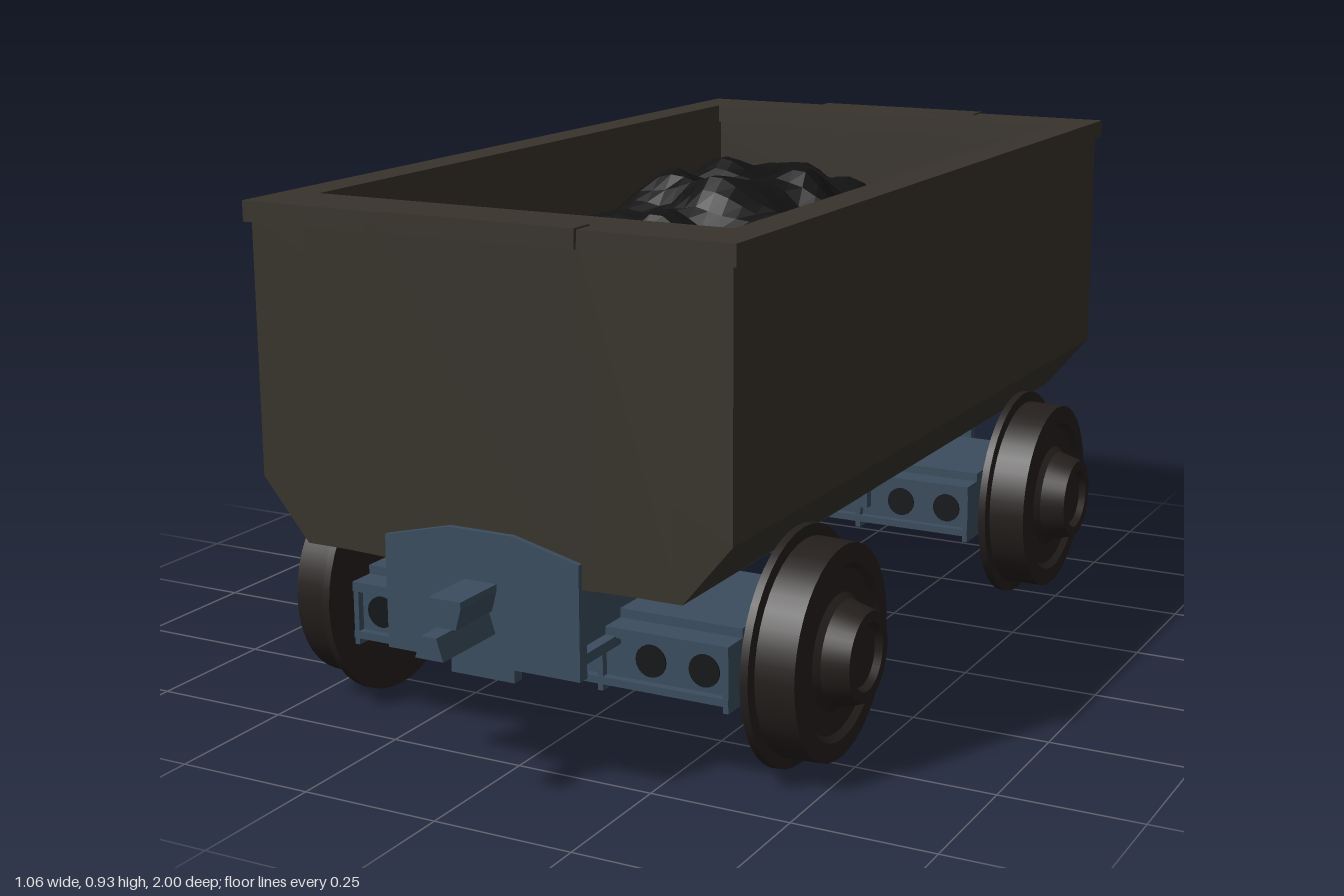
import * as THREE from 'three';

const mat = (color, extra = {}) => new THREE.MeshStandardMaterial({ color, ...extra });

export function createModel() {
  const root = new THREE.Group();
  const tubMat = mat(0x38332c), steel = mat(0x3b4d5e), iron = mat(0x241f1d);
  const dark = mat(0x14171a);
  const coalMat = mat(0x121212, { flatShading: true, side: THREE.DoubleSide });

  const add = (parent, name, geo, material, x = 0, y = 0, z = 0) => {
    const m = new THREE.Mesh(geo, material);
    m.name = name;
    m.position.set(x, y, z);
    parent.add(m);
    return m;
  };
  // Box given by its limits on each axis
  const box = (parent, name, material, x0, x1, y0, y1, z0, z1) =>
    add(parent, name, new THREE.BoxGeometry(x1 - x0, y1 - y0, z1 - z0), material,
      (x0 + x1) / 2, (y0 + y1) / 2, (z0 + z1) / 2);
  const shape = pts => new THREE.Shape(pts.map(p => new THREE.Vector2(p[0], p[1])));
  const extrude = (s, depth) => new THREE.ExtrudeGeometry(s, { depth, bevelEnabled: false });
  const rect = (x, z) => [[-x, -z], [x, -z], [x, z], [-x, z]];

  // Tub: chamfered trough, end walls and rim
  const tub = new THREE.Group();
  tub.name = 'tub';
  root.add(tub);
  const outer = [[-0.44, 0.9], [-0.44, 0.465], [-0.353, 0.36], [0.353, 0.36], [0.44, 0.465], [0.44, 0.9]];
  const inner = [[0.385, 0.9], [0.385, 0.48], [0.32, 0.372], [-0.32, 0.372], [-0.385, 0.48], [-0.385, 0.9]];
  add(tub, 'trough', extrude(shape([...outer, ...inner]), 1.46), tubMat, 0, 0, -0.73);
  for (const s of [-1, 1]) {
    add(tub, 'endWall', extrude(shape(outer), 0.1), tubMat, 0, 0, s > 0 ? 0.73 : -0.83);
    // Shallow bulge on the end face
    const bulge = extrude(shape([[-0.35, 0], [0.35, 0], [0.18, 0.013], [-0.18, 0.013]]), 0.55);
    bulge.rotateX(-Math.PI / 2);
    const b = add(tub, 'endBulge', bulge, tubMat, 0, 0.362, s * 0.829);
    if (s > 0) b.rotation.y = Math.PI;
    if (s > 0) b.rotation.y += Math.PI;
    b.rotation.y = s > 0 ? Math.PI : 0;
    box(tub, 'rimCap', tubMat, -0.18, 0.18, 0.9, 0.933, s > 0 ? 0.8 : -0.848, s > 0 ? 0.848 : -0.8);
  }
  const rimShape = shape(rect(0.45, 0.84));
  rimShape.holes.push(shape(rect(0.385, 0.72)));
  const rim = extrude(rimShape, 0.035);
  rim.rotateX(-Math.PI / 2);
  add(tub, 'rim', rim, tubMat, 0, 0.895, 0);

  // Coal heap: a grid raised by a rule, its outer ring dropped as a skirt
  const nx = 28, nz = 48;
  const coal = new THREE.PlaneGeometry(2, 2, nx, nz).rotateX(-Math.PI / 2);
  const p = coal.attributes.position;
  const inset = (t, n) => Math.max(-1, Math.min(1, t * (n / 2) / (n / 2 - 1)));
  for (let i = 0; i < p.count; i++) {
    const edge = Math.abs(p.getX(i)) > 0.99 || Math.abs(p.getZ(i)) > 0.99;
    const u = inset(p.getX(i), nx), v = inset(p.getZ(i), nz);
    const x = u * (0.345 + 0.014 * Math.sin(v * 9 + u) + 0.012 * Math.sin(v * 23));
    let z = -0.05 + v * (0.63 + 0.012 * Math.sin(u * 17) + 0.01 * Math.sin(u * 7 + 1));
    const spill = Math.max(0, Math.min(1, (0.14 - Math.abs(x)) / 0.07));
    if (v > 0.8) z += 0.12 * spill * (v - 0.8) / 0.2;
    const d = Math.hypot(x / 0.26, (z + 0.1) / 0.3);
    const mound = 0.1 * Math.max(0, Math.min(1, 1.6 - 1.2 * d));
    const rough = 0.014 * Math.sin(x * 31 + z * 17) + 0.012 * Math.sin(z * 37 - x * 13)
      + 0.012 * Math.abs(Math.sin(x * 19 - z * 23));
    const y = 0.77 + mound + rough - 0.05 * u ** 4 - 0.04 * v ** 4;
    p.setXYZ(i, x, edge ? 0.4 : y, z);
  }
  coal.computeVertexNormals();
  add(root, 'coalHeap', coal, coalMat);

  // Centre sill with side holes and ribs
  const chassis = new THREE.Group();
  chassis.name = 'chassis';
  root.add(chassis);
  box(chassis, 'centreSill', steel, -0.14, 0.14, 0.235, 0.378, -0.83, 0.83);
  for (const s of [-1, 1]) {
    box(chassis, 'sillFlange', steel, s * 0.135 - 0.025, s * 0.135 + 0.025, 0.22, 0.238, -0.83, 0.83);
    for (const z of [-0.19, 0, 0.19])
      add(chassis, 'sillHole', new THREE.CylinderGeometry(0.028, 0.028, 0.006, 20).rotateZ(Math.PI / 2),
        dark, s * 0.14, 0.305, z);
    for (const z of [-0.3, 0.3])
      box(chassis, 'sillRib', steel, s * 0.15 - 0.02, s * 0.15 + 0.02, 0.196, 0.36, z - 0.01, z + 0.01);
  }

  // Lathe outline of a wheel, from the flange outwards
  const wheelProfile = [[0, 0], [0.205, 0], [0.205, 0.014], [0.185, 0.016], [0.183, 0.085], [0.15, 0.087],
    [0.14, 0.077], [0.1, 0.077], [0.09, 0.087], [0.077, 0.132], [0.058, 0.132], [0.052, 0.12], [0, 0.12]];
  // Separate strips between points keep the turned edges crisp
  const wheel = side => {
    const g = new THREE.Group();
    g.name = 'wheel';
    for (let i = 1; i < wheelProfile.length; i++) {
      const strip = wheelProfile.slice(i - 1, i + 1).map(q => new THREE.Vector2(...q));
      add(g, 'wheelSurface', new THREE.LatheGeometry(strip, 40), iron);
    }
    g.rotation.z = -side * Math.PI / 2;
    return g;
  };

  for (const e of [-1, 1]) {
    // Bolster carrying the axle: flanged channel with holes and ribs
    const truck = new THREE.Group();
    truck.name = e > 0 ? 'frontTruck' : 'rearTruck';
    truck.position.z = e * 0.52;
    root.add(truck);
    box(truck, 'bolsterCore', steel, -0.36, 0.36, 0.16, 0.24, -0.165, 0.165);
    box(truck, 'bottomFlange', steel, -0.365, 0.365, 0.15, 0.163, -0.18, 0.18);
    box(truck, 'topFlange', steel, -0.365, 0.365, 0.235, 0.252, -0.18, 0.18);
    box(truck, 'topPlate', steel, -0.365, 0.365, 0.25, 0.268, -0.13, 0.13);
    for (const x of [-0.36, -0.128, 0.128, 0.36])
      box(truck, 'bolsterRib', steel, x - 0.005, x + 0.005, 0.138, 0.24, -0.178, 0.178);
    for (const s of [-1, 1])
      for (const x of [-0.315, -0.217, 0.217, 0.315])
        add(truck, 'bolsterHole', new THREE.CylinderGeometry(0.028, 0.028, 0.006, 20).rotateX(Math.PI / 2),
          dark, x, 0.2, s * 0.165);
    add(truck, 'axle', new THREE.CylinderGeometry(0.02, 0.02, 0.82, 16).rotateZ(Math.PI / 2), steel, 0, 0.205, 0);
    for (const s of [-1, 1]) {
      const w = wheel(s);
      w.position.set(s * 0.398, 0.205, 0);
      truck.add(w);
    }

    // End plate and coupler, built facing front and turned for the rear
    const end = new THREE.Group();
    end.name = e > 0 ? 'frontCoupling' : 'rearCoupling';
    end.rotation.y = e > 0 ? 0 : Math.PI;
    root.add(end);
    const plate = shape([[-0.182, 0.212], [-0.06, 0.212], [-0.06, 0.19], [0.06, 0.19], [0.06, 0.212],
      [0.182, 0.212], [0.182, 0.405], [0.06, 0.435], [-0.06, 0.435], [-0.182, 0.405]]);
    add(end, 'endPlate', extrude(plate, 0.022), steel, 0, 0, 0.83);
    const head = shape([[-0.02, 0.305], [0.02, 0.305], [0.03, 0.34], [0.03, 0.352], [-0.03, 0.352], [-0.03, 0.34]]);
    add(end, 'couplerHead', extrude(head, 0.105), steel, 0, 0, 0.85);
    const tongue = shape([[-0.026, 0.268], [0.026, 0.268], [0.014, 0.305], [-0.014, 0.305]]);
    add(end, 'couplerTongue', extrude(tongue, 0.15), steel, 0, 0, 0.85);
  }
  return root;
}
